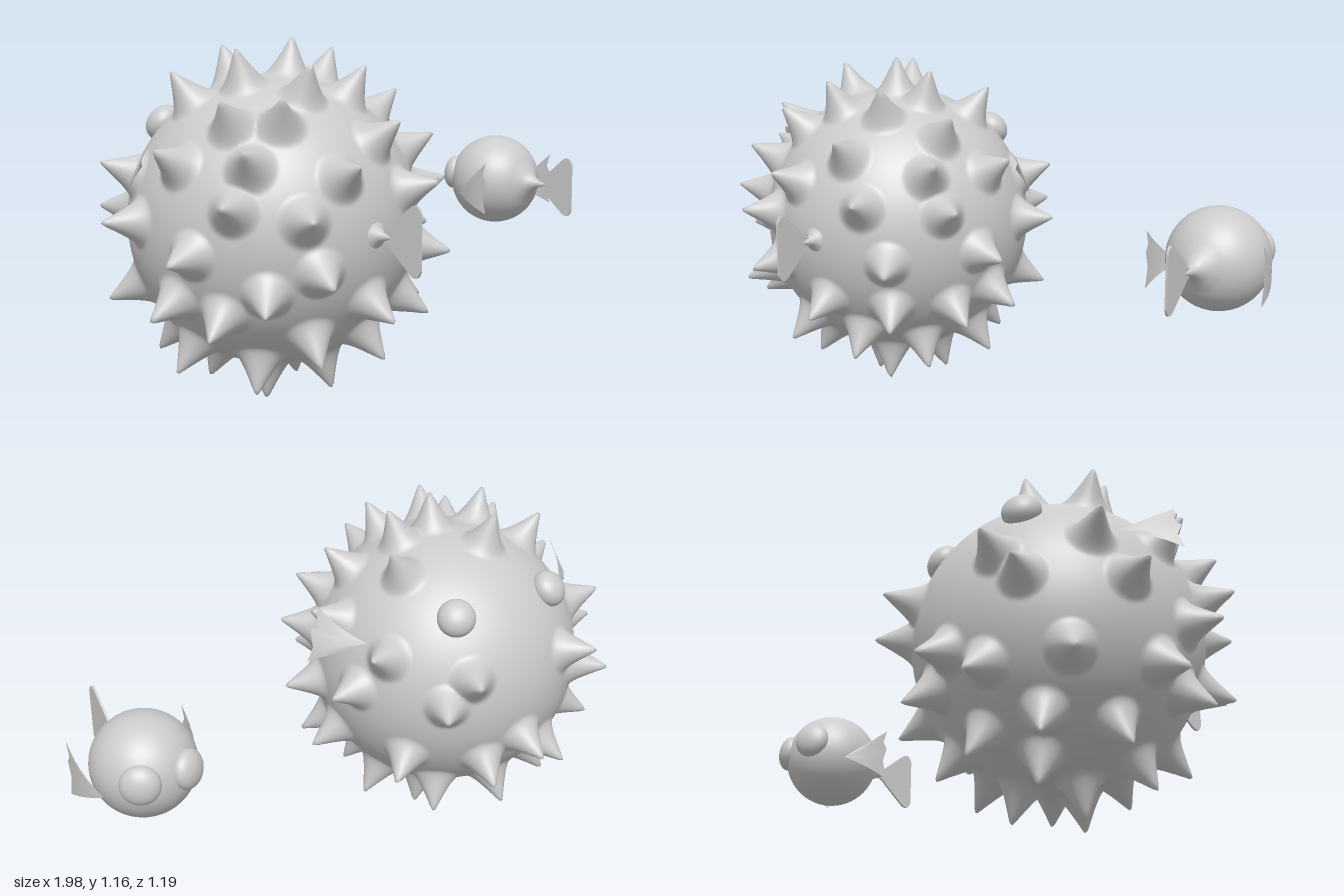
import * as THREE from 'three';
import { mergeVertices } from 'three/addons/utils/BufferGeometryUtils.js';

const mat = new THREE.MeshStandardMaterial({ color: 0xcccccc });
const thin = new THREE.MeshStandardMaterial({ color: 0xcccccc, side: THREE.DoubleSide });

function add(parent, name, geometry, material = mat) {
  const mesh = new THREE.Mesh(geometry, material);
  mesh.name = name;
  parent.add(mesh);
  return mesh;
}

// Spike directions that occur on both sides of the body
const PAIRED = [
  [0.42, 0.24, -0.87], [0.59, 0.05, -0.81], [0.26, -0.46, -0.85], [0.84, 0.35, -0.43],
  [0.96, 0.06, -0.24], [0.72, -0.42, -0.53], [0.88, 0.45, 0.1], [0.95, -0.1, 0.28],
  [0.9, -0.42, 0.07], [0.82, 0.2, 0.54], [0.69, 0.46, 0.56], [0.78, -0.5, 0.38],
  [0.64, 0.7, 0.33], [0.42, -0.75, -0.5], [0.63, -0.78, -0.08],
  [0.54, 0.82, -0.19],
];
// Spike directions that occur once
const SINGLE = [
  [0.07, 0.99, 0.09], [-0.33, 0.94, 0.09], [-0.1, 0.95, -0.3], [0.34, 0.93, 0.12],
  [0.24, 0.84, 0.47], [-0.15, 0.87, 0.47], [0.17, 0.58, 0.8], [-0.22, 0.38, 0.89],
  [-0.43, 0.71, 0.56], [0.36, 0.25, 0.89], [-0.5, 0.13, 0.86], [0.03, -0.45, 0.89],
  [0.53, -0.15, 0.83], [-0.4, -0.21, 0.89], [0.48, -0.5, 0.72], [-0.66, -0.35, 0.67],
  [0.18, -0.71, 0.67], [-0.29, -0.67, 0.68], [0.27, -0.96, -0.12], [-0.12, -0.99, 0.06],
  [0.15, -0.94, 0.3], [-0.4, -0.86, 0.3], [0.48, -0.8, 0.35], [0, -0.3, -0.95],
  [0, -0.78, -0.63], [-0.2, -0.92, -0.33],
];

// Sphere whose surface is drawn out into soft-based spikes
function spikyBody(radius, height, reach) {
  const dirs = [...SINGLE, ...PAIRED, ...PAIRED.map(([x, y, z]) => [-x, y, z])]
    .map((d) => new THREE.Vector3(...d).normalize());
  let g = new THREE.IcosahedronGeometry(1, 70);
  g.deleteAttribute('uv');
  g.deleteAttribute('normal');
  g = mergeVertices(g, 1e-5);
  const p = g.attributes.position, v = new THREE.Vector3();
  for (let i = 0; i < p.count; i++) {
    v.fromBufferAttribute(p, i).normalize();
    let angle = Math.PI;
    for (const d of dirs) angle = Math.min(angle, v.angleTo(d));
    const rise = Math.max(0, 1 - Math.max(0, angle - 0.008) / reach) ** 1.7;
    v.multiplyScalar(radius + height * rise);
    p.setXYZ(i, v.x, v.y, v.z);
  }
  g.computeVertexNormals();
  return g;
}

// Bulging eye, flattened along the line from the body centre
function addEyes(fish, [x, y, z], radius, depth) {
  for (const s of [1, -1]) {
    const eye = add(fish, s > 0 ? 'leftEye' : 'rightEye', new THREE.SphereGeometry(radius, 32, 20));
    eye.position.set(s * x, y, z);
    eye.quaternion.setFromUnitVectors(new THREE.Vector3(0, 0, 1), eye.position.clone().normalize());
    eye.scale.z = depth / radius;
  }
}

// Fan-shaped fin: rays from a root to a jagged trailing edge
function finGeometry(root, edge, bulge, side) {
  const rows = 6, pos = [], index = [], n = edge.length;
  const a = new THREE.Vector3(...root);
  for (let r = 0; r <= rows; r++) {
    const t = r / rows;
    for (const e of edge) {
      const q = a.clone().lerp(new THREE.Vector3(...e), t);
      pos.push(side * (q.x + bulge * Math.sin(Math.PI * t)), q.y, q.z);
    }
  }
  for (let r = 0; r < rows; r++) for (let i = 0; i < n - 1; i++) {
    const k = r * n + i;
    index.push(k, k + n, k + 1, k + 1, k + n, k + n + 1);
  }
  const g = new THREE.BufferGeometry();
  g.setAttribute('position', new THREE.Float32BufferAttribute(pos, 3));
  g.setIndex(index);
  g.computeVertexNormals();
  return g;
}

function addFins(fish, root, edge, bulge) {
  for (const s of [1, -1])
    add(fish, s > 0 ? 'leftFin' : 'rightFin', finGeometry(root, edge, bulge, s), thin);
}

// Tapered tail root with a flat flared fin; end is the z of the trailing edge
function addTail(fish, end, profile) {
  const root = new THREE.LatheGeometry(profile.map(([r, z]) => new THREE.Vector2(r, z)), 24);
  root.rotateX(Math.PI / 2);
  add(fish, 'tailRoot', root, thin);

  const s = new THREE.Shape();
  s.moveTo(-0.18, 0.013);
  s.lineTo(-0.155, 0.013);
  s.quadraticCurveTo(-0.135, 0.015, -0.12, 0.033);
  s.lineTo(-0.042, 0.1);
  s.quadraticCurveTo(-0.012, 0.122, 0, 0.085);
  s.lineTo(0, -0.085);
  s.quadraticCurveTo(-0.012, -0.122, -0.042, -0.1);
  s.lineTo(-0.12, -0.033);
  s.quadraticCurveTo(-0.135, -0.015, -0.155, -0.013);
  s.lineTo(-0.18, -0.013);
  const g = new THREE.ExtrudeGeometry(s, { depth: 0.008, bevelEnabled: false });
  g.translate(0, 0, -0.004);
  g.rotateY(-Math.PI / 2);
  add(fish, 'tailFin', g).position.z = end;
}

export function createModel() {
  const model = new THREE.Group();

  // Inflated fish, facing -z
  const big = new THREE.Group();
  big.name = 'inflatedFish';
  big.position.set(-0.42, 0.583, -0.04);
  add(big, 'spikyBody', spikyBody(0.463, 0.119, 0.175));
  addEyes(big, [0.197, 0.3, -0.308], 0.063, 0.05);
  addFins(big, [0.42, 0.194, -0.125], [
    [0.505, 0.289, 0.035], [0.525, 0.225, 0.01], [0.54, 0.215, 0.025],
    [0.55, 0.165, -0.005], [0.566, 0.114, 0.005],
  ], 0.015);
  addTail(big, 0.64, [[0.05, 0.455], [0.028, 0.468], [0.017, 0.482], [0.012, 0.5], [0.004, 0.52]]);
  model.add(big);

  // Small smooth fish, facing -z
  const small = new THREE.Group();
  small.name = 'smallFish';
  small.position.set(0.8, 0.58, -0.115);
  add(small, 'body', new THREE.SphereGeometry(0.168, 48, 32));
  addEyes(small, [0.08, 0.022, -0.137], 0.064, 0.04);
  addFins(small, [0.16, -0.045, -0.045], [
    [0.198, 0.087, 0.115], [0.198, 0.04, 0.1], [0.198, 0.015, 0.115],
    [0.198, -0.035, 0.1], [0.198, -0.105, 0.115],
  ], 0.012);
  addTail(small, 0.363, [[0.09, 0.142], [0.052, 0.164], [0.027, 0.185], [0.014, 0.21], [0.004, 0.245]]);
  model.add(small);

  return model;
}
